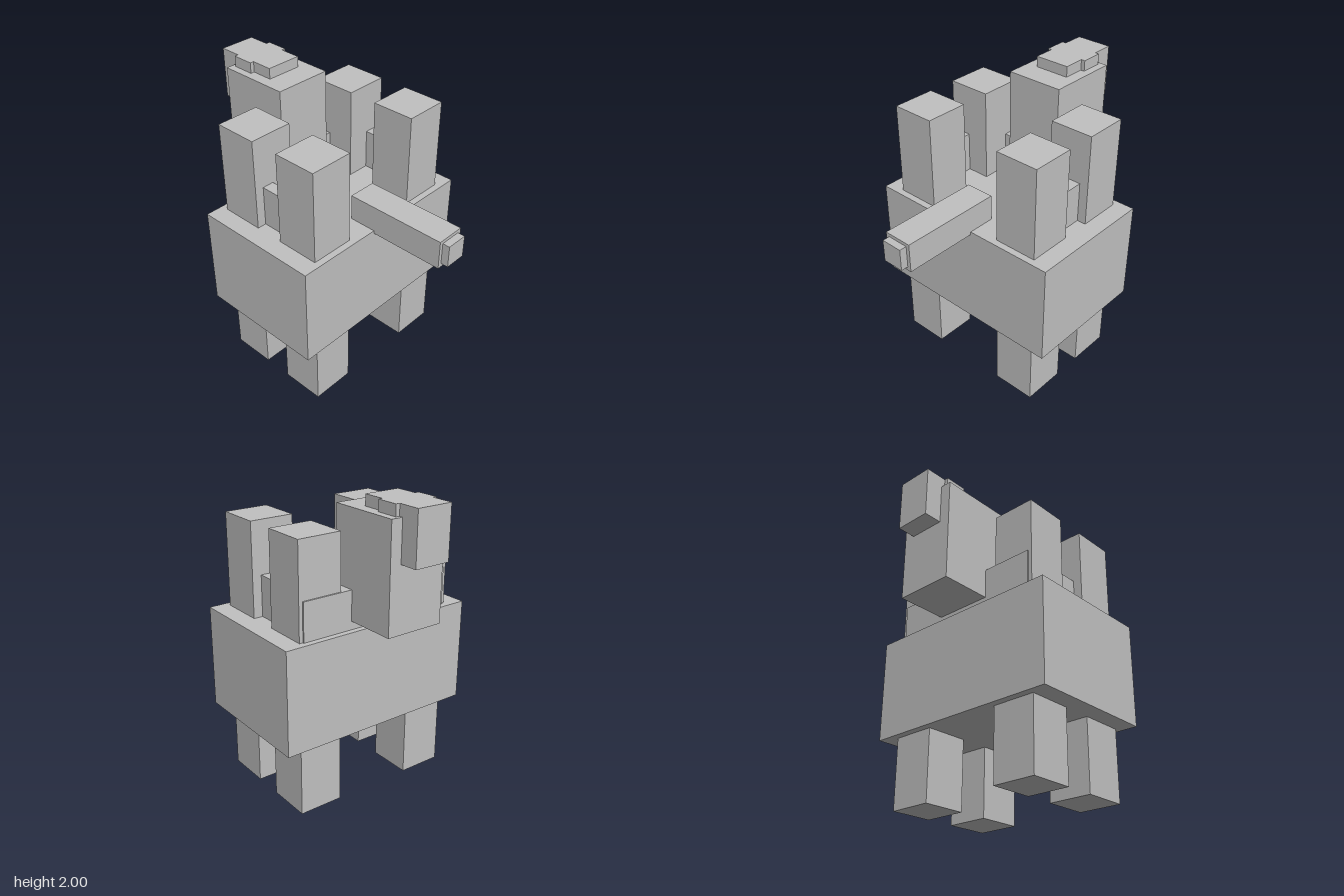
import * as THREE from 'three';

export function createModel() {
  const group = new THREE.Group();
  const grey = new THREE.MeshStandardMaterial({ color: 0xc0c0c0 });
  grey.name = 'plain grey';

  // Box given by its extents on each axis
  function box(name, [x0, x1], [y0, y1], [z0, z1]) {
    const mesh = new THREE.Mesh(new THREE.BoxGeometry(x1 - x0, y1 - y0, z1 - z0), grey);
    mesh.position.set((x0 + x1) / 2, (y0 + y1) / 2, (z0 + z1) / 2);
    mesh.name = name;
    group.add(mesh);
  }

  box('body', [-0.7, 0.7], [0.48, 1.175], [-0.513, 0.383]);

  // Posts that run through the body, and the rails joining them
  for (const [side, s] of [['left', 1], ['right', -1]]) {
    const x = s * 0.425;
    box(side + 'FrontLeg', [x - 0.15, x + 0.15], [0, 1.8], [0.037, 0.337]);
    box(side + 'BackLeg', [x - 0.15, x + 0.15], [0, 1.8], [-0.463, -0.163]);
    const r = s * 0.473;
    box(side + 'Rail', [r - 0.04, r + 0.04], [1.16, 1.45], [-0.17, 0.045]);
  }
  box('backRail', [-0.55, 0.55], [1.16, 1.43], [-0.473, -0.358]);

  // Front bar and its tip
  box('bar', [-0.098, 0.098], [1.155, 1.35], [0.19, 0.887]);
  box('barTip', [-0.073, 0.073], [1.18, 1.328], [0.86, 0.936]);

  // Raised rear block with its cap and cross piece
  box('rearBlock', [-0.2, 0.2], [1.23, 1.928], [-0.814, -0.317]);
  box('rearCap', [-0.123, 0.123], [1.658, 2], [-0.936, -0.49]);
  for (const s of [-1, 1]) {
    const x = s * 0.135;
    box('capSide', [x - 0.015, x + 0.015], [1.9, 2], [-0.788, -0.638]);
  }

  return group;
}
